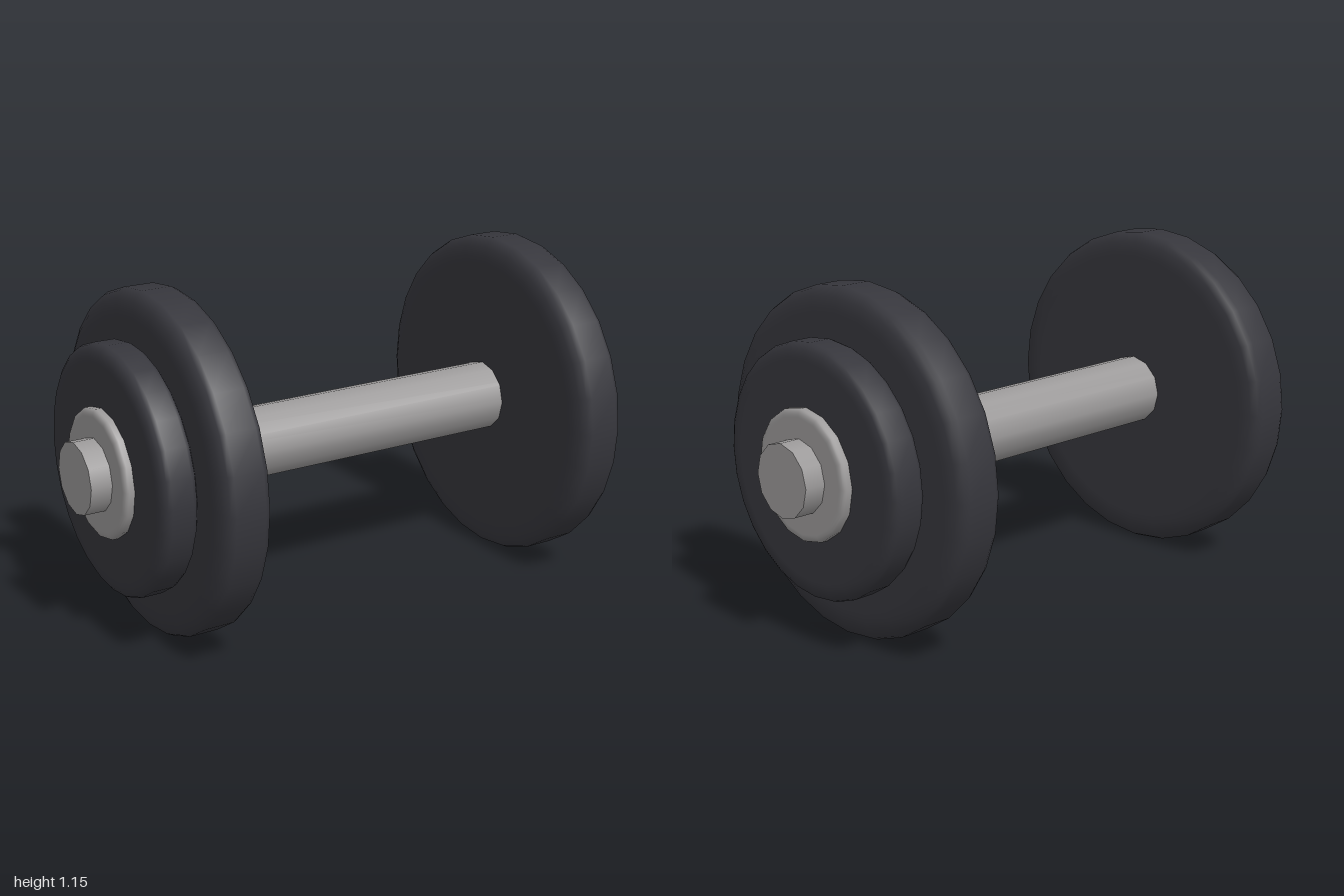
import * as THREE from 'three';

const RADIUS = 0.573; // large plate radius, also the height of the axis

const rubber = new THREE.MeshStandardMaterial({ color: 0x36363c });
rubber.name = 'dark rubber';
const steel = new THREE.MeshStandardMaterial({ color: 0x9c9a9a });
steel.name = 'grey steel';

// Disc along x from x0 to x1 with a rounded rim: bx is the rounding along x, br along the radius
function disc(name, x0, x1, radius, bx, br, sides, material) {
  const rim = [];
  for (let i = 0; i <= 3; i++) {
    const a = (i / 3) * Math.PI / 2;
    rim.push([radius - br + br * Math.sin(a), bx * (1 - Math.cos(a))]);
  }
  const flat = radius - br * 1.4; // extra ring keeps the faces flat
  const profile = [
    [0, x0], [flat, x0],
    ...rim.map(([r, d]) => [r, x0 + d]),
    ...rim.reverse().map(([r, d]) => [r, x1 - d]),
    [flat, x1], [0, x1],
  ].map(([r, x]) => new THREE.Vector2(r, x));
  const geometry = new THREE.LatheGeometry(profile, sides);
  geometry.rotateZ(-Math.PI / 2);
  const mesh = new THREE.Mesh(geometry, material);
  mesh.name = name;
  return mesh;
}

// Weights on one end of the bar
function weightStack(name) {
  const stack = new THREE.Group();
  stack.name = name;
  stack.add(
    disc('largePlate', 0.603, 0.775, RADIUS, 0.035, 0.065, 28, rubber),
    disc('smallPlate', 0.772, 0.897, 0.415, 0.027, 0.042, 28, rubber),
    disc('collar', 0.87, 0.928, 0.215, 0.012, 0.018, 16, steel),
  );
  return stack;
}

export function createModel() {
  const model = new THREE.Group();
  model.name = 'dumbbell';

  // Bar through both stacks
  const barGeometry = new THREE.CylinderGeometry(0.121, 0.121, 2, 12);
  barGeometry.rotateZ(-Math.PI / 2);
  const bar = new THREE.Mesh(barGeometry, steel);
  bar.name = 'bar';

  const left = weightStack('leftWeights');
  const right = weightStack('rightWeights');
  right.rotation.y = Math.PI;

  const body = new THREE.Group();
  body.name = 'body';
  body.position.y = RADIUS;
  body.add(bar, left, right);
  model.add(body);
  return model;
}
